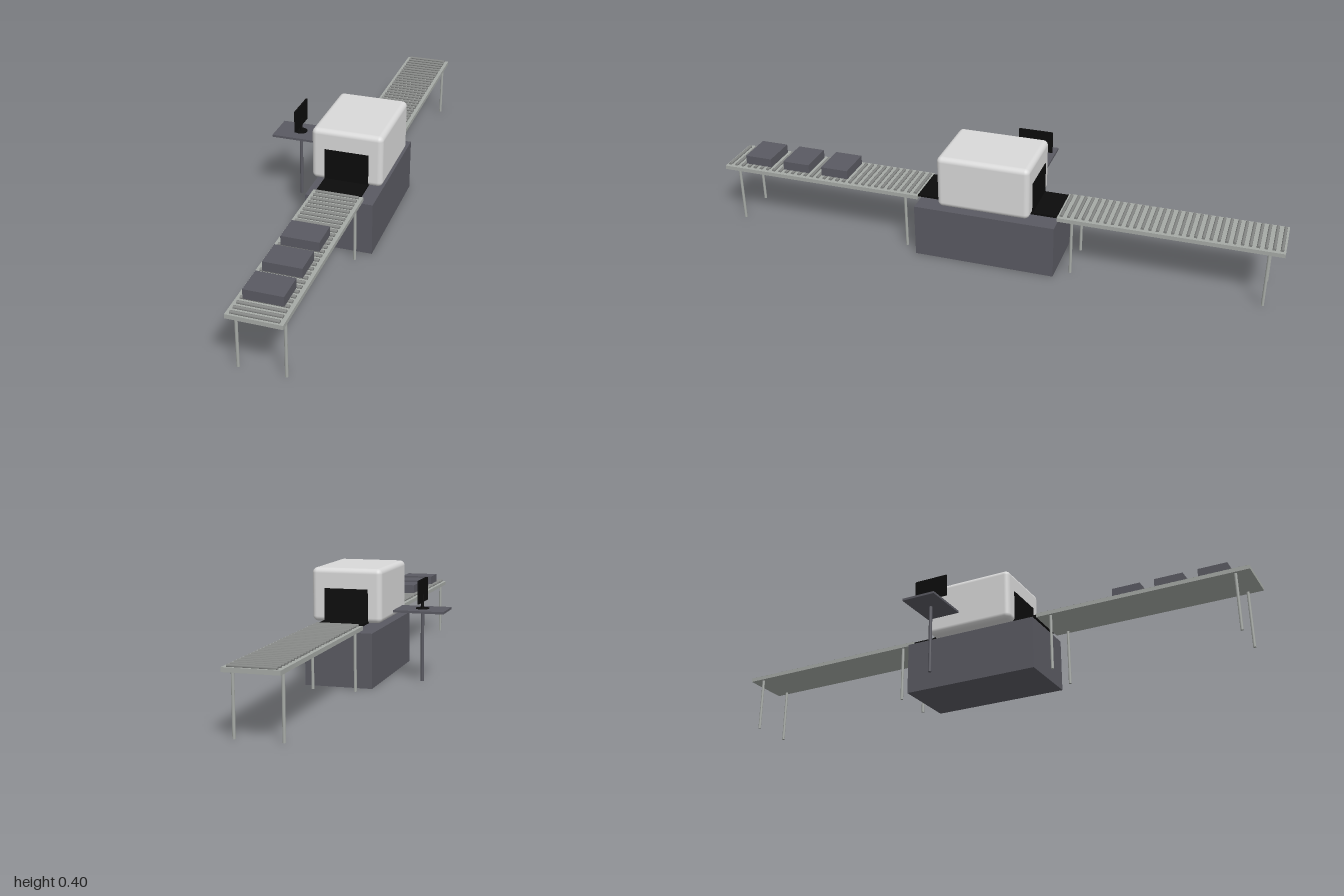
import * as THREE from 'three';
import { RoundedBoxGeometry } from 'three/addons/geometries/RoundedBoxGeometry.js';

const paint = (name, color) => {
  const m = new THREE.MeshStandardMaterial({ color });
  m.name = name;
  return m;
};

export function createModel() {
  const shell = paint('light grey shell', 0xd9d9d9);
  const dark = paint('dark grey panel', 0x5a5a62);
  const black = paint('black rubber', 0x0c0c0c);
  const metal = paint('frame metal', 0xa6aaa6);
  const steel = paint('roller steel', 0x848684);

  const model = new THREE.Group();
  model.name = 'baggageScanner';

  const add = (parent, name, geometry, material, x, y, z) => {
    const mesh = new THREE.Mesh(geometry, material);
    mesh.name = name;
    mesh.position.set(x, y, z);
    parent.add(mesh);
    return mesh;
  };
  // Box and upright cylinder given by their bottom height and total height
  const box = (parent, name, mat, x, y0, z, w, h, d) =>
    add(parent, name, new THREE.BoxGeometry(w, h, d), mat, x, y0 + h / 2, z);
  const post = (parent, name, mat, x, y0, z, r, h) =>
    add(parent, name, new THREE.CylinderGeometry(r, r, h, 20), mat, x, y0 + h / 2, z);

  const cx = 0.105; // centre line of the scanner and conveyors

  // Scanner: cabinet, rounded tunnel housing, belt and tunnel mouths
  const scanner = new THREE.Group();
  scanner.name = 'scanner';
  model.add(scanner);
  box(scanner, 'cabinet', dark, cx + 0.001, 0, 0, 0.238, 0.189, 0.5);
  add(scanner, 'housing', new RoundedBoxGeometry(0.25, 0.187, 0.325, 5, 0.018), shell, cx, 0.3015, 0);
  box(scanner, 'belt', black, cx, 0.207, 0, 0.155, 0.008, 0.5);
  for (const s of [1, -1]) {
    box(scanner, 'tunnelMouth', black, cx, 0.214, s * 0.1625, 0.155, 0.111, 0.006);
  }

  // Roller conveyors at the front and back
  const rollerGeometry = new THREE.CylinderGeometry(0.0055, 0.0055, 0.15, 12);
  rollerGeometry.rotateZ(Math.PI / 2);
  for (const s of [1, -1]) {
    const conveyor = new THREE.Group();
    conveyor.name = s > 0 ? 'frontConveyor' : 'backConveyor';
    model.add(conveyor);
    box(conveyor, 'deck', metal, cx, 0.2, s * 0.625, 0.175, 0.014, 0.75);
    for (let i = 0; i < 30; i++) {
      add(conveyor, 'roller', rollerGeometry, steel, cx, 0.2165, s * (0.2625 + i * 0.025));
    }
    for (const z of [0.3, 0.95]) {
      for (const dx of [-0.075, 0.075]) post(conveyor, 'leg', metal, cx + dx, 0, s * z, 0.005, 0.2);
    }
  }

  // Trays waiting on the front conveyor
  for (const z of [0.575, 0.725, 0.875]) {
    box(model, 'tray', dark, cx, 0.222, z, 0.126, 0.032, 0.1);
  }

  // Operator desk with its monitor facing sideways
  const desk = new THREE.Group();
  desk.name = 'operatorDesk';
  desk.position.set(-0.145, 0, -0.08);
  model.add(desk);
  post(desk, 'deskPole', dark, 0, 0, 0, 0.006, 0.248);
  box(desk, 'deskTop', dark, 0, 0.247, 0, 0.176, 0.008, 0.125);
  post(desk, 'monitorFoot', black, 0, 0.255, 0, 0.023, 0.003);
  post(desk, 'monitorStem', black, 0, 0.258, 0, 0.005, 0.047);
  box(desk, 'monitorScreen', black, 0, 0.278, 0, 0.006, 0.08, 0.125);

  return model;
}
